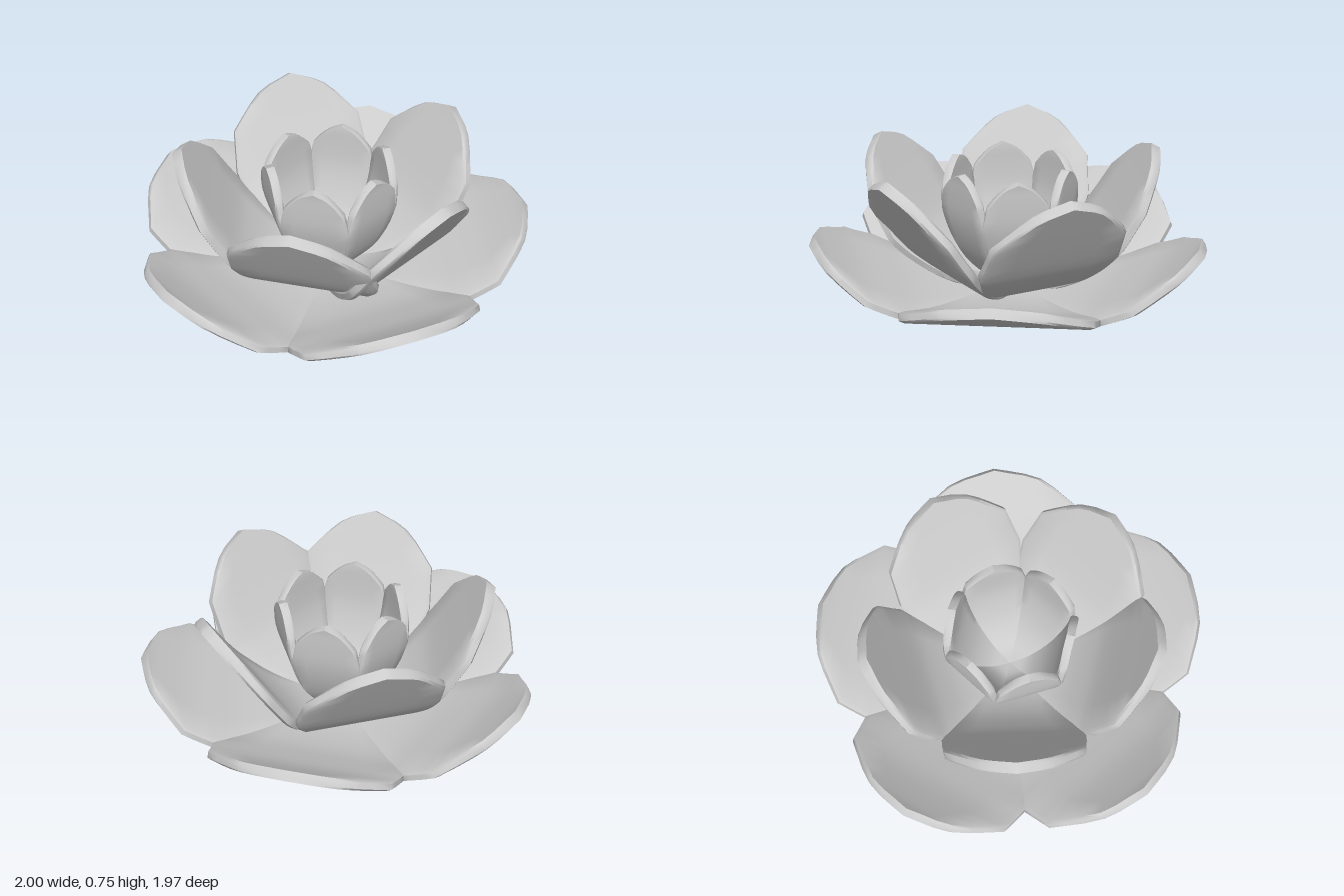
import * as THREE from 'three';
import { toCreasedNormals, mergeVertices } from 'three/addons/utils/BufferGeometryUtils.js';

const STEPS = 3; // subdivisions between profile rows

// Each row is [distance from the centre, height, half width]
const OUTER = [[0, 0.026, 0.16], [0.15, 0.026, 0.23], [0.3, 0.035, 0.305], [0.5, 0.075, 0.4],
  [0.66, 0.135, 0.482], [0.81, 0.205, 0.455], [0.96, 0.305, 0.25], [1.015, 0.35, 0]];
const MIDDLE = [[0, 0.05, 0.125], [0.15, 0.06, 0.18], [0.3, 0.13, 0.26], [0.42, 0.23, 0.325],
  [0.5, 0.325, 0.365], [0.615, 0.51, 0.345], [0.71, 0.67, 0.18], [0.75, 0.738, 0]];
const INNER = [[0, 0.06, 0.04], [0.1, 0.09, 0.075], [0.19, 0.19, 0.12], [0.25, 0.32, 0.155],
  [0.285, 0.45, 0.175], [0.295, 0.57, 0.15], [0.297, 0.65, 0.075], [0.3, 0.685, 0]];

// A curved sheet with rounded rims, pointing to +z
function petalGeometry(rows, thickness) {
  const h = thickness / 2;
  const curve = new THREE.CatmullRomCurve3(rows.map(([r, y]) => new THREE.Vector3(0, y, r)), false, 'catmullrom', 0.5);
  const across = [-1, -0.94, -0.6, -0.2, 0.2, 0.6, 0.94, 1];
  const rim = u => (Math.abs(u) === 1 ? 0.6 : 1);
  // Closed cross-section: over the top, then back underneath
  const ring = [
    ...across.map(u => [u, rim(u) * h]),
    ...[...across].reverse().map(u => [u, -rim(u) * h]),
  ];
  const n = (rows.length - 1) * STEPS;
  const m = ring.length;
  const pos = [];
  const index = [];
  for (let i = 0; i <= n; i++) {
    const t = i / n;
    const p = curve.getPoint(t);
    const d = curve.getTangent(t);
    const k = Math.min(Math.floor(i / STEPS), rows.length - 2);
    const half = THREE.MathUtils.lerp(rows[k][2], rows[k + 1][2], i / STEPS - k);
    for (const [u, o] of ring) pos.push(u * half, p.y + d.z * o, p.z - d.y * o);
  }
  for (let i = 0; i < n; i++) {
    for (let j = 0; j < m; j++) {
      const a = i * m + j, b = i * m + (j + 1) % m, c = a + m, e = b + m;
      index.push(a, c, b, b, c, e);
    }
  }
  // Close the base end
  for (let j = 1; j < m - 1; j++) index.push(0, j, j + 1);
  const geo = new THREE.BufferGeometry();
  geo.setAttribute('position', new THREE.Float32BufferAttribute(pos, 3));
  geo.setIndex(index);
  return toCreasedNormals(mergeVertices(geo, 1e-5), 0.75);
}

export function createModel() {
  const material = new THREE.MeshStandardMaterial({ color: 0xcccccc, side: THREE.DoubleSide });
  const flower = new THREE.Group();
  flower.name = 'flower';

  // A ring of petals turned to the given angles (degrees from the front)
  function addRing(name, rows, thickness, angles) {
    const group = new THREE.Group();
    group.name = name + 's';
    const geo = petalGeometry(rows, thickness);
    for (const angle of angles) {
      const petal = new THREE.Mesh(geo, material);
      petal.name = name;
      petal.rotation.y = THREE.MathUtils.degToRad(angle);
      group.add(petal);
    }
    flower.add(group);
  }

  addRing('outerPetal', OUTER, 0.05, [180, 252, 324, 36, 108]);
  addRing('middlePetal', MIDDLE, 0.055, [0, -75, -150, -225, -300]);
  addRing('innerPetal', INNER, 0.042, [0, 60, 120, 180, 240, 300]);

  flower.position.z = 0.05;
  const model = new THREE.Group();
  model.name = 'lotusFlower';
  model.add(flower);
  return model;
}
